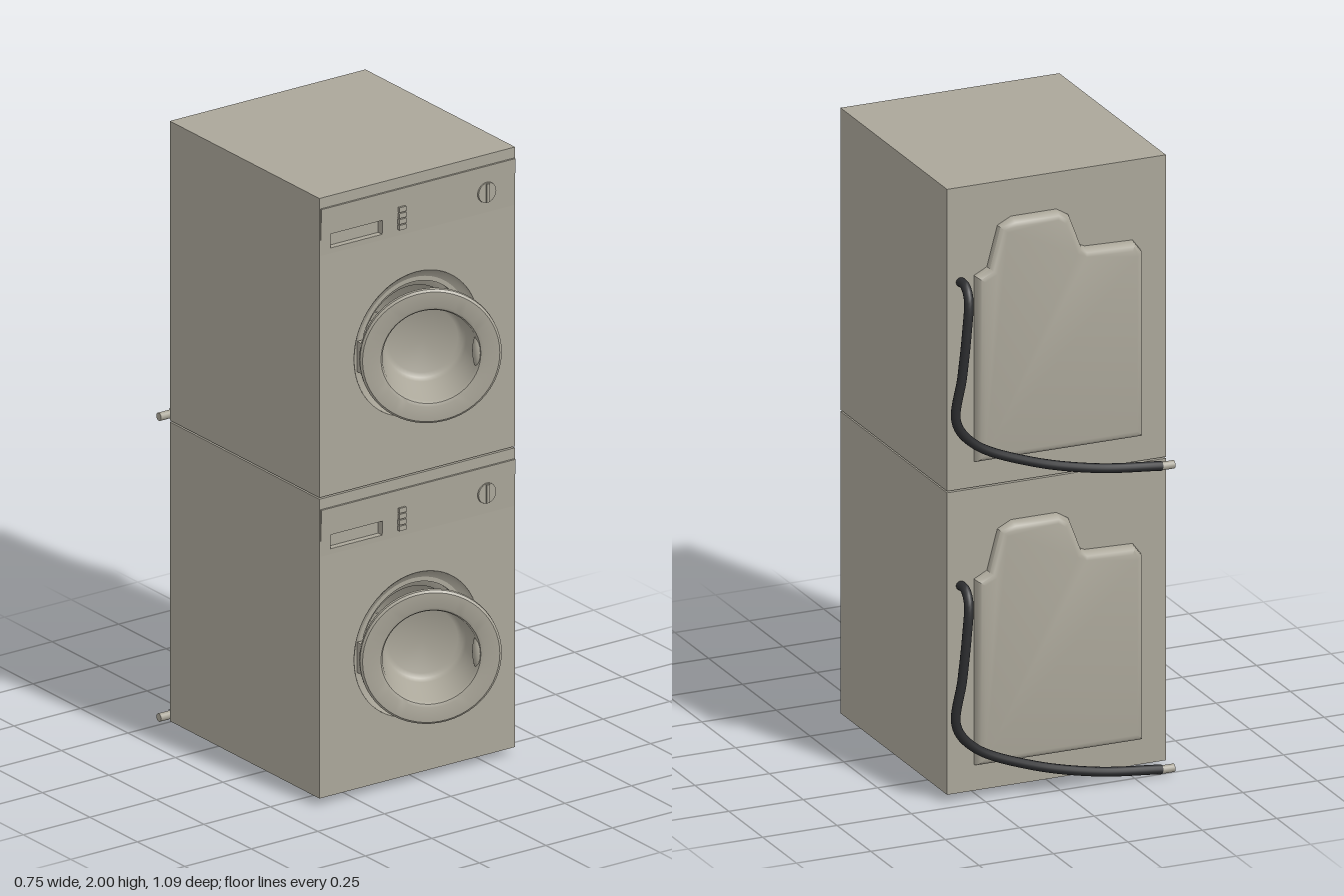
import * as THREE from 'three';
import { toCreasedNormals } from 'three/addons/utils/BufferGeometryUtils.js';

const enamel = new THREE.MeshStandardMaterial({ color: 0xaaa699 });
enamel.name = 'warm grey enamel';
const rubber = new THREE.MeshStandardMaterial({ color: 0x2c2d2f });
rubber.name = 'black rubber';

const L = -0.375, R = 0.36, BOTTOM = 0.025, TOP = 1.01;
const FRONT = 0.333, BACK = -0.455, CX = -0.01, CY = 0.45;

function add(parent, name, geometry, material, x = 0, y = 0, z = 0) {
  const mesh = new THREE.Mesh(geometry, material);
  mesh.name = name;
  mesh.position.set(x, y, z);
  parent.add(mesh);
  return mesh;
}

function rect(Type, x0, y0, x1, y1) {
  return new Type([[x0, y0], [x1, y0], [x1, y1], [x0, y1]].map(p => new THREE.Vector2(...p)));
}

function circle(r) {
  const p = new THREE.Path();
  p.absarc(CX, CY, r, 0, Math.PI * 2, true);
  return p;
}

function extrude(shape, depth) {
  return new THREE.ExtrudeGeometry(shape, { depth, bevelEnabled: false, curveSegments: 48 });
}

// Turned part whose axis points along +z
function turned(points) {
  const g = new THREE.LatheGeometry(points.map(p => new THREE.Vector2(...p)), 56);
  return toCreasedNormals(g.rotateX(Math.PI / 2), 0.6);
}

function addCabinet(g) {
  const pocket = () => rect(THREE.Path, -0.335, 0.838, -0.14, 0.885);
  const shell = rect(THREE.Shape, L, BOTTOM, R, TOP);
  shell.holes.push(circle(0.195));
  add(g, 'cabinet', extrude(shell, 0.313 - BACK - 0.01), enamel, 0, 0, BACK + 0.01);
  add(g, 'backPlate', new THREE.BoxGeometry(R - L, TOP - BOTTOM, 0.01), enamel,
    (L + R) / 2, (TOP + BOTTOM) / 2, BACK + 0.005);

  const face = rect(THREE.Shape, L, BOTTOM, R, TOP);
  face.holes.push(circle(0.235), pocket());
  add(g, 'frontPanel', extrude(face, 0.02), enamel, 0, 0, 0.313);

  // Control strip that tapers into the front panel
  const strip = rect(THREE.Shape, L + 0.003, 0.82, R - 0.003, 0.975);
  strip.holes.push(pocket());
  const stripGeo = extrude(strip, 0.007);
  const p = stripGeo.attributes.position;
  for (let i = 0; i < p.count; i++) p.setZ(i, p.getZ(i) * (p.getY(i) - 0.82) / 0.155);
  stripGeo.computeVertexNormals();
  add(g, 'controlStrip', stripGeo, enamel, 0, 0, FRONT + 0.0005);

  // Dished rim, seal and drum
  add(g, 'doorwayRim', turned([[0.235, 0], [0.225, -0.012], [0.2, -0.025], [0.19, -0.03],
    [0.175, -0.04], [0.175, -0.07], [0.19, -0.09], [0.19, -0.6], [0, -0.6]]), enamel, CX, CY, FRONT);
  for (let i = 0; i < 3; i++) {
    const a = i * Math.PI * 2 / 3 + Math.PI / 2;
    const rib = add(g, 'drumPaddle', new THREE.BoxGeometry(0.03, 0.05, 0.4), enamel,
      CX + 0.175 * Math.cos(a), CY + 0.175 * Math.sin(a), 0);
    rib.rotation.z = a - Math.PI / 2;
  }
}

function addControls(g) {
  for (let i = 0; i < 4; i++) {
    add(g, 'button', new THREE.BoxGeometry(0.026, 0.016, 0.012), enamel, -0.07, 0.849 + i * 0.0195, 0.339);
  }
  add(g, 'dial', new THREE.CylinderGeometry(0.033, 0.034, 0.01, 32).rotateX(Math.PI / 2), enamel, 0.25, 0.888, 0.337);
  add(g, 'dialGrip', new THREE.BoxGeometry(0.012, 0.06, 0.01), enamel, 0.25, 0.888, 0.343);
}

function addDoor(g) {
  const door = new THREE.Group();
  door.name = 'openDoor';
  door.position.set(-0.04, CY, 0.452);
  door.rotation.y = -0.45;
  g.add(door);
  add(door, 'doorRingAndBowl', turned([[0, -0.155], [0.115, -0.155], [0.128, -0.15], [0.136, -0.138],
    [0.152, -0.025], [0.214, -0.025], [0.22, -0.019], [0.22, -0.006], [0.213, 0], [0.165, 0],
    [0.155, -0.004], [0.149, -0.014], [0.13, -0.125], [0.122, -0.138], [0.108, -0.145], [0, -0.145]]), enamel);
  const grip = add(door, 'doorGrip', new THREE.SphereGeometry(1, 24, 16), enamel, 0.148, 0, -0.025);
  grip.scale.set(0.016, 0.055, 0.02);
  add(g, 'hinge', new THREE.BoxGeometry(0.02, 0.1, 0.03), enamel, -0.213, CY, 0.333);
}

function addBack(g) {
  // Pressed cover with a raised tab, outlined at its flat top and bevelled outwards
  const outline = [[-0.265, 0.135], [0.245, 0.135], [0.245, 0.7], [0.205, 0.72], [0.17, 0.85],
    [0.14, 0.865], [0, 0.865], [-0.025, 0.85], [-0.065, 0.745], [-0.095, 0.73], [-0.25, 0.725], [-0.265, 0.705]];
  const shape = new THREE.Shape(outline.map(([x, y]) => new THREE.Vector2(-x, y)));
  const cover = new THREE.ExtrudeGeometry(shape, {
    depth: 0.002, bevelThickness: 0.03, bevelSize: 0.025, bevelSegments: 3,
  });
  cover.rotateY(Math.PI);
  add(g, 'backCover', toCreasedNormals(cover, 0.7), enamel, 0, 0, BACK);

  const path = new THREE.CatmullRomCurve3([
    [0.315, 0.70, -0.44], [0.315, 0.70, -0.49], [0.318, 0.665, -0.523], [0.33, 0.56, -0.535],
    [0.343, 0.42, -0.53], [0.357, 0.27, -0.518], [0.29, 0.185, -0.51], [0.1, 0.1, -0.507],
    [-0.12, 0.045, -0.508], [-0.335, 0.02, -0.51],
  ].map(p => new THREE.Vector3(...p)));
  add(g, 'drainHose', new THREE.TubeGeometry(path, 80, 0.015, 12), rubber);
  const tip = new THREE.CylinderGeometry(0.013, 0.013, 0.05, 16).rotateZ(Math.PI / 2);
  add(g, 'hoseTip', tip, enamel, -0.352, 0.019, -0.51);
}

function addFeet(g) {
  for (const x of [-0.3, 0.28]) {
    for (const z of [0.255, -0.365]) {
      add(g, 'foot', new THREE.CylinderGeometry(0.034, 0.025, 0.026, 20), rubber, x, 0.013, z);
    }
  }
}

export function createModel() {
  const model = new THREE.Group();
  model.name = 'stackedWashers';
  for (const [name, y] of [['lowerWasher', 0], ['upperWasher', 0.99]]) {
    const g = new THREE.Group();
    g.name = name;
    g.position.y = y;
    addCabinet(g);
    addControls(g);
    addDoor(g);
    addBack(g);
    addFeet(g);
    model.add(g);
  }
  return model;
}
